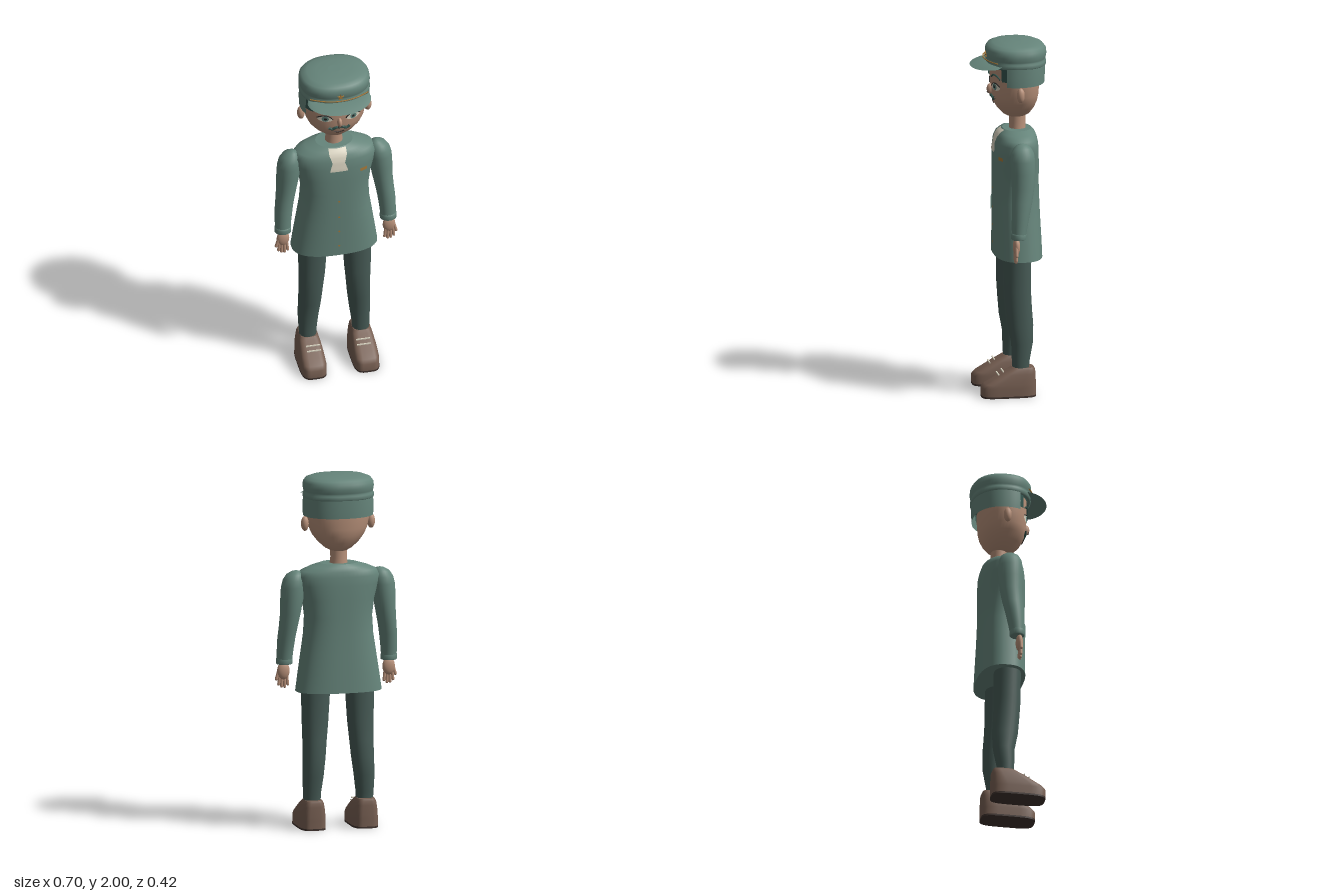
import * as THREE from 'three';

const mat = (name, color, side = THREE.FrontSide) => {
  const m = new THREE.MeshStandardMaterial({ color, side });
  m.name = name;
  return m;
};

// Loft of superellipse rings [y, cx, cz, rx, rz, n], listed bottom to top.
// An arc (a0..a1 in degrees, 90 = front) gives an open strip without caps.
function loft(rings, seg = 40, arc = null) {
  const pos = [], idx = [];
  const [a0, a1] = (arc || [0, 360]).map(THREE.MathUtils.degToRad);
  const cols = arc ? seg + 1 : seg;
  const addRing = ([y, cx, cz, rx, rz, n = 2]) => {
    for (let j = 0; j < cols; j++) {
      const a = a0 + (a1 - a0) * j / seg, c = Math.cos(a), s = Math.sin(a);
      pos.push(cx + rx * Math.sign(c) * Math.abs(c) ** (2 / n), y,
        cz + rz * Math.sign(s) * Math.abs(s) ** (2 / n));
    }
  };
  rings.forEach(addRing);
  for (let i = 0; i < rings.length - 1; i++) {
    for (let j = 0; j < seg; j++) {
      const k = (j + 1) % cols, b = i * cols, t = b + cols;
      idx.push(b + j, t + j, b + k, b + k, t + j, t + k);
    }
  }
  if (!arc) {
    for (const [ring, top] of [[rings[0], false], [rings.at(-1), true]]) {
      const b = pos.length / 3;
      addRing(ring);
      pos.push(ring[1], ring[0], ring[2]);
      for (let j = 0; j < seg; j++) {
        const k = (j + 1) % seg;
        idx.push(b + cols, b + (top ? k : j), b + (top ? j : k));
      }
    }
  }
  const g = new THREE.BufferGeometry();
  g.setAttribute('position', new THREE.Float32BufferAttribute(pos, 3));
  g.setIndex(idx);
  g.computeVertexNormals();
  return g;
}

// Front surface depth of a lofted body at (x, y)
function frontZ(rings, x, y) {
  let i = 0;
  while (i < rings.length - 2 && y > rings[i + 1][0]) i++;
  const a = rings[i], b = rings[i + 1];
  const t = THREE.MathUtils.clamp((y - a[0]) / (b[0] - a[0]), 0, 1);
  const [, cx, cz, rx, rz, n] = a.map((v, k) => v + (b[k] - v) * t);
  return cz + rz * (1 - Math.min(1, Math.abs((x - cx) / rx)) ** n) ** (1 / n);
}

// Lay a flat geometry onto the front of a lofted body
function drape(geo, rings, off) {
  const p = geo.attributes.position;
  for (let i = 0; i < p.count; i++) p.setZ(i, frontZ(rings, p.getX(i), p.getY(i)) + off);
  geo.computeVertexNormals();
  return geo;
}

const TORSO = [
  [0.78, 0, -0.052, 0.243, 0.133, 2.5], [0.88, 0, -0.05, 0.229, 0.131, 2.5],
  [1.0, 0, -0.047, 0.211, 0.128, 2.5], [1.1, 0, -0.045, 0.196, 0.126, 2.5],
  [1.2, 0, -0.043, 0.19, 0.125, 2.5], [1.3, 0, -0.043, 0.203, 0.125, 2.5],
  [1.38, 0, -0.043, 0.225, 0.123, 2.4], [1.43, 0, -0.045, 0.235, 0.118, 2.3],
  [1.46, 0, -0.047, 0.215, 0.11, 2.2], [1.482, 0, -0.05, 0.165, 0.099, 2.1],
  [1.5, 0, -0.052, 0.105, 0.08, 2]];

const HEAD = [
  [1.57, 0, -0.05, 0.045, 0.05, 2], [1.585, 0, -0.048, 0.075, 0.075, 2],
  [1.62, 0, -0.044, 0.115, 0.104, 2], [1.66, 0, -0.041, 0.146, 0.123, 2.05],
  [1.7, 0, -0.04, 0.164, 0.131, 2.1], [1.76, 0, -0.04, 0.177, 0.135, 2.1],
  [1.82, 0, -0.04, 0.18, 0.137, 2.1], [1.89, 0, -0.04, 0.178, 0.137, 2.1]];

export function createModel() {
  const root = new THREE.Group();
  root.name = 'uniformedMan';
  const M = {
    jacket: mat('jacket green', 0x66857b, THREE.DoubleSide),
    pants: mat('trouser green', 0x465a55),
    skin: mat('skin', 0xb8917a),
    shoe: mat('shoe brown', 0x775f52),
    sole: mat('sole dark brown', 0x40332e),
    cream: mat('cream', 0xd9d3c0, THREE.DoubleSide),
    gold: mat('gold', 0xa67a3a, THREE.DoubleSide),
    hair: mat('hair dark green', 0x34564f, THREE.DoubleSide),
    iris: mat('iris green', 0x5f857d),
    dark: mat('near black', 0x252423),
  };
  const add = (name, geo, m, x = 0, y = 0, z = 0) => {
    const mesh = new THREE.Mesh(geo, m);
    mesh.name = name;
    mesh.position.set(x, y, z);
    root.add(mesh);
    return mesh;
  };
  const ball = (name, m, x, y, z, sx, sy, sz) =>
    add(name, new THREE.SphereGeometry(1, 20, 14), m, x, y, z).scale.set(sx, sy, sz);
  const disc = (name, m, rings, x, y, rx, ry, off) =>
    add(name, drape(new THREE.CircleGeometry(1, 24).scale(rx, ry, 1).translate(x, y, 0), rings, off), m);
  const stroke = (name, m, pts, r) => {
    const v = pts.map(([x, y]) => new THREE.Vector3(x, y, frontZ(HEAD, x, y) + 0.003));
    add(name, new THREE.TubeGeometry(new THREE.CatmullRomCurve3(v), 16, r, 6), m);
  };

  // Jacket body, shirt front and fittings
  add('jacketBody', loft(TORSO, 56), M.jacket);
  const shirt = new THREE.PlaneGeometry(0.1, 0.128, 8, 14).translate(0, 1.434, 0);
  const sp = shirt.attributes.position;
  for (let i = 0; i < sp.count; i++) {
    const pinch = 1 - Math.min(1, Math.abs(sp.getY(i) - 1.425) / 0.045);
    sp.setX(i, sp.getX(i) * (1 - 0.3 * pinch));
  }
  add('shirtFront', drape(shirt, TORSO, 0.005), M.cream);
  for (const y of [0.85, 0.95, 1.05, 1.16]) disc('button', M.gold, TORSO, 0, y, 0.006, 0.006, 0.005);
  add('medalBar', drape(new THREE.PlaneGeometry(0.04, 0.02, 4, 2).translate(0.145, 1.354, 0), TORSO, 0.006), M.gold);

  for (const s of [-1, 1]) {
    add('pocket', drape(new THREE.PlaneGeometry(0.1, 0.08, 8, 4).translate(s * 0.13, 1.05, 0), TORSO, 0.005), M.jacket);

    // Sleeve and cuff
    add('sleeve', loft([
      [0.94, 0.3, -0.011, 0.043, 0.038], [1.0, 0.298, -0.016, 0.046, 0.044],
      [1.08, 0.292, -0.025, 0.05, 0.051], [1.14, 0.284, -0.033, 0.052, 0.057],
      [1.22, 0.273, -0.04, 0.057, 0.063], [1.3, 0.265, -0.041, 0.064, 0.068],
      [1.37, 0.259, -0.041, 0.066, 0.069], [1.41, 0.254, -0.041, 0.061, 0.064],
      [1.44, 0.248, -0.041, 0.047, 0.049], [1.457, 0.242, -0.041, 0.025, 0.027],
      [1.462, 0.24, -0.041, 0.006, 0.006],
    ].map(([y, x, ...r]) => [y, s * x, ...r]), 28), M.jacket);
    add('cuff', loft([[0.93, 0.041, 0.037], [0.934, 0.047, 0.042], [0.96, 0.047, 0.043], [0.967, 0.041, 0.037]]
      .map(([y, rx, rz]) => [y, s * 0.3, -0.01, rx, rz]), 28), M.jacket);

    // Hand
    ball('palm', M.skin, s * 0.302, 0.89, 0.002, 0.036, 0.05, 0.02);
    for (let f = 0; f < 4; f++) {
      const len = [0.05, 0.062, 0.06, 0.048][f];
      const finger = add('finger', new THREE.CapsuleGeometry(0.0085, len, 4, 10), M.skin,
        s * (0.279 + f * 0.0155), 0.862 - len / 2, 0.006);
      finger.rotation.z = s * (f - 1.5) * 0.07;
    }
    const thumb = add('thumb', new THREE.CapsuleGeometry(0.009, 0.045, 4, 10), M.skin, s * 0.335, 0.866, 0.006);
    thumb.rotation.z = s * 0.28;

    // Trouser leg
    add('trouserLeg', loft([
      [0.13, 0.15, -0.048, 0.046, 0.044], [0.2, 0.151, -0.048, 0.05, 0.049],
      [0.3, 0.146, -0.056, 0.058, 0.06], [0.4, 0.139, -0.048, 0.063, 0.072],
      [0.5, 0.134, -0.04, 0.067, 0.073], [0.6, 0.13, -0.034, 0.073, 0.074],
      [0.8, 0.126, -0.032, 0.082, 0.075],
    ].map(([y, x, ...r]) => [y, s * x, ...r, 2.2]), 28), M.pants);

    // Shoe: rows of height, back z, front z, half width
    const shoeRing = ([y, zb, zf, w]) => [y, s * 0.15, (zb + zf) / 2, w, (zf - zb) / 2, 4];
    add('shoe', loft([[0.01, -0.13, 0.174, 0.073], [0.055, -0.13, 0.174, 0.073], [0.075, -0.13, 0.155, 0.071],
      [0.1, -0.129, 0.112, 0.068], [0.13, -0.128, 0.062, 0.062], [0.152, -0.126, 0.02, 0.056],
      [0.165, -0.12, 0, 0.048]].map(shoeRing), 36), M.shoe);
    add('sole', loft([[0, -0.13, 0.175, 0.074], [0.01, -0.13, 0.175, 0.074]].map(shoeRing), 36), M.sole);
    for (const [y, z] of [[0.145, 0.055], [0.128, 0.081]])
      add('lace', new THREE.BoxGeometry(0.08, 0.006, 0.007), M.cream, s * 0.142, y, z);

    // Ear, eye and brow
    ball('ear', M.skin, s * 0.19, 1.725, -0.042, 0.022, 0.042, 0.022);
    disc('eyeWhite', M.cream, HEAD, s * 0.08, 1.755, 0.042, 0.021, 0.004);
    disc('iris', M.iris, HEAD, s * 0.08, 1.756, 0.019, 0.019, 0.006);
    disc('pupil', M.dark, HEAD, s * 0.08, 1.756, 0.008, 0.008, 0.008);
    stroke('upperLid', M.dark, [[s * 0.037, 1.753], [s * 0.06, 1.773], [s * 0.09, 1.776], [s * 0.123, 1.76]], 0.003);
    stroke('brow', M.hair, [[s * 0.035, 1.805], [s * 0.065, 1.822], [s * 0.095, 1.822], [s * 0.128, 1.803]], 0.005);
    stroke('moustacheHalf', M.hair, [[0, 1.692], [s * 0.022, 1.69], [s * 0.04, 1.678], [s * 0.06, 1.69]], 0.008);
    ball('nostril', M.dark, s * 0.008, 1.708, 0.112, 0.004, 0.003, 0.004);
  }

  // Neck, head, nose and mouth
  add('neck', loft([[1.48, 0, -0.055, 0.052, 0.048], [1.53, 0, -0.055, 0.046, 0.045], [1.6, 0, -0.055, 0.047, 0.046]], 28), M.skin);
  add('head', loft(HEAD, 48), M.skin);
  ball('nose', M.skin, 0, 1.727, 0.098, 0.014, 0.03, 0.02);
  stroke('mouth', M.sole, [[-0.03, 1.655], [0, 1.647], [0.03, 1.655]], 0.003);

  // Hair under the cap
  add('hair', loft([[1.795, 0, -0.04, 0.186, 0.142, 2.1], [1.89, 0, -0.04, 0.188, 0.145, 2.1]], 40, [138, 402]), M.hair);
  add('fringe', loft([[1.862, 0, -0.04, 0.184, 0.142, 2.1], [1.89, 0, -0.04, 0.184, 0.142, 2.1]], 24, [30, 150]), M.hair);

  // Cap: neck flap, band and crown
  add('capFlap', loft([[1.77, 0, -0.043, 0.196, 0.16, 2.2], [1.82, 0, -0.043, 0.198, 0.163, 2.2],
    [1.88, 0, -0.044, 0.195, 0.162, 2.2]], 40, [154, 386]), M.jacket);
  add('capCrown', loft([[1.87, 0.19, 0.158], [1.876, 0.198, 0.165], [1.895, 0.198, 0.165], [1.902, 0.191, 0.159],
    [1.912, 0.194, 0.163], [1.935, 0.198, 0.168], [1.96, 0.195, 0.166], [1.978, 0.182, 0.153],
    [1.99, 0.152, 0.126], [1.997, 0.1, 0.083], [2, 0.035, 0.03]]
    .map(([y, rx, rz]) => [y, 0, -0.046, rx, rz, 2.3]), 56), M.jacket);

  // Visor: crescent sloping forward and down
  const visor = new THREE.PlaneGeometry(2, 1, 32, 5);
  const vp = visor.attributes.position;
  for (let i = 0; i < vp.count; i++) {
    const a = vp.getX(i) * Math.PI / 2, t = 0.5 - vp.getY(i), c = Math.cos(a);
    vp.setXYZ(i, Math.sin(a) * (0.17 + 0.01 * t), 1.886 - 0.01 * t - 0.014 * t * t * c,
      0.06 + 0.025 * t + c * (0.045 + 0.08 * t));
  }
  visor.computeVertexNormals();
  add('capVisor', visor, M.jacket);

  // Gold cord and star badge
  const cord = [];
  for (let i = -8; i <= 8; i++) {
    const x = i / 8 * 0.165;
    cord.push(new THREE.Vector3(x, 1.905, 0.135 - 0.052 * (i / 8) ** 2));
  }
  add('capCord', new THREE.TubeGeometry(new THREE.CatmullRomCurve3(cord), 32, 0.0035, 6), M.gold);
  const star = new THREE.Shape(Array.from({ length: 10 }, (_, i) => {
    const r = i % 2 ? 0.008 : 0.019, a = Math.PI / 2 + i * Math.PI / 5;
    return new THREE.Vector2(r * Math.cos(a), r * Math.sin(a));
  }));
  add('capStar', new THREE.ExtrudeGeometry(star, { depth: 0.006, bevelEnabled: false }), M.gold, 0, 1.925, 0.121);
  return root;
}
